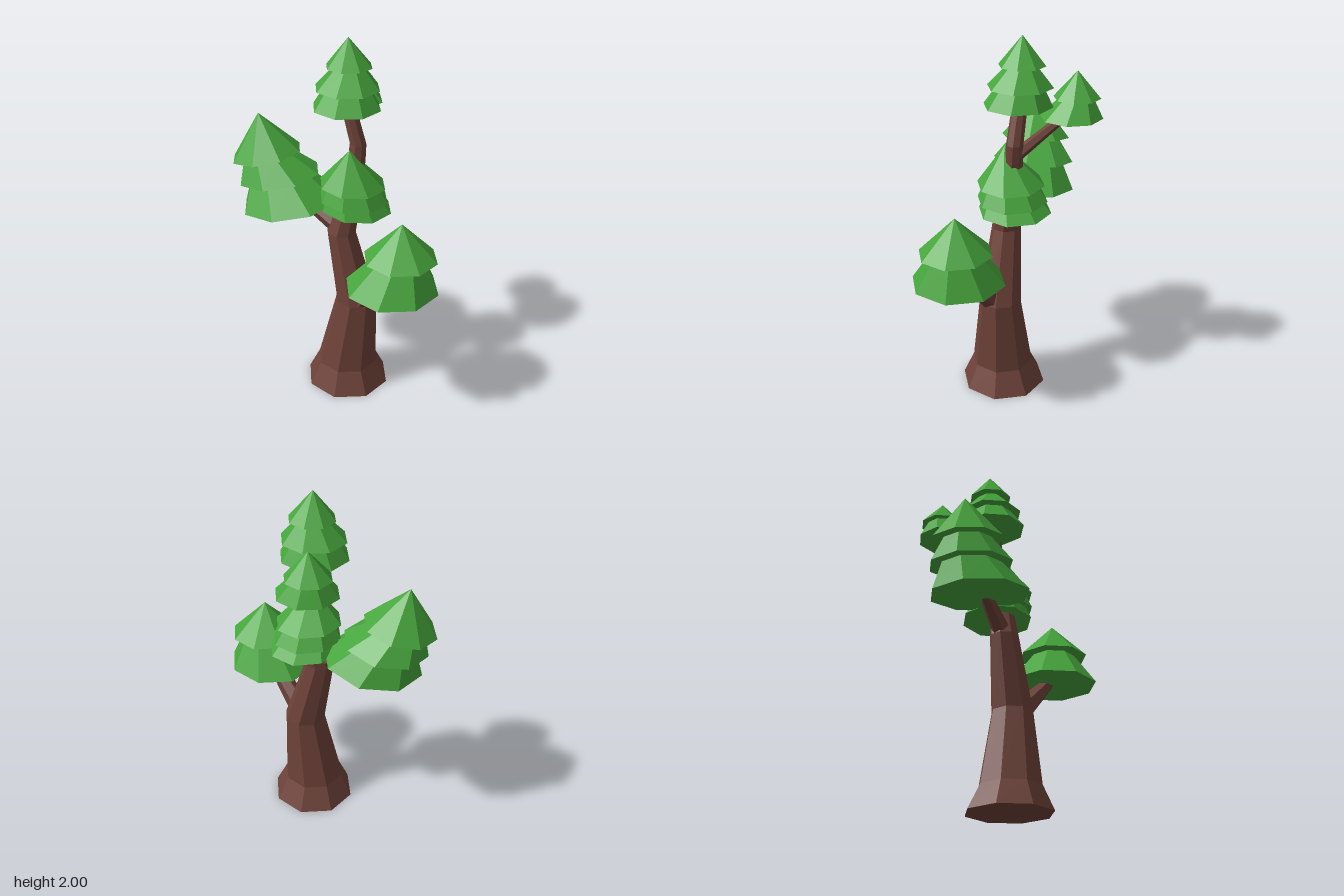
import * as THREE from 'three';

const SIDES = 8;
const bark = new THREE.MeshStandardMaterial({ color: 0x6e4239, flatShading: true });
const leaf = new THREE.MeshStandardMaterial({ color: 0x46a53c, flatShading: true });

// Closed skin through octagonal rings, listed from bottom to top.
// Each ring is [x, y, z, radius, slope of the ring along x].
function loft(rings) {
  const pos = [];
  const pt = ([x, y, z, r, slope = 0], j) => {
    const a = (j / SIDES) * Math.PI * 2;
    return [x + r * Math.cos(a), y + slope * r * Math.cos(a), z + r * Math.sin(a)];
  };
  const first = rings[0], last = rings[rings.length - 1];
  for (let j = 0; j < SIDES; j++) {
    pos.push(...first.slice(0, 3), ...pt(first, j), ...pt(first, j + 1));
    for (let i = 0; i < rings.length - 1; i++) {
      const a = pt(rings[i], j), b = pt(rings[i], j + 1);
      const c = pt(rings[i + 1], j), d = pt(rings[i + 1], j + 1);
      pos.push(...a, ...c, ...b);
      if (rings[i + 1][3] > 0) pos.push(...b, ...c, ...d);
    }
    if (last[3] > 0) pos.push(...last.slice(0, 3), ...pt(last, j + 1), ...pt(last, j));
  }
  const geo = new THREE.BufferGeometry();
  geo.setAttribute('position', new THREE.Float32BufferAttribute(pos, 3));
  geo.computeVertexNormals();
  return geo;
}

function addMesh(parent, name, geo, mat) {
  const mesh = new THREE.Mesh(geo, mat);
  mesh.name = name;
  parent.add(mesh);
  return mesh;
}

// Tapered limb between two points
function addBranch(parent, name, from, to, r0, r1) {
  const a = new THREE.Vector3(...from), b = new THREE.Vector3(...to);
  const dir = b.clone().sub(a);
  const mesh = addMesh(parent, name, new THREE.CylinderGeometry(r1, r0, dir.length(), 6), bark);
  mesh.position.copy(a).add(b).multiplyScalar(0.5);
  mesh.quaternion.setFromUnitVectors(new THREE.Vector3(0, 1, 0), dir.normalize());
}

// Stacked skirts: a pointed tier on top, then flared tiers below it.
// Each tier is [x, y, z, bottom radius, top radius, slope].
function addFoliage(parent, name, apex, tiers) {
  const group = new THREE.Group();
  group.name = name;
  tiers.forEach(([x, y, z, r, rTop, slope = 0], i) => {
    const above = i ? tiers[i - 1] : apex;
    const top = [above[0], above[1], above[2], rTop, i ? slope : 0];
    addMesh(group, 'tier' + (i + 1), loft([[x, y, z, r, slope], top]), leaf);
  });
  parent.add(group);
}

export function createModel() {
  const tree = new THREE.Group();
  tree.name = 'tree';

  // Trunk with flared foot and a bent upper stem
  addMesh(tree, 'trunk', loft([
    [0.07, 0, 0.04, 0.235],
    [0.07, 0.135, 0.045, 0.17],
    [0.12, 0.55, 0.045, 0.115],
    [0.025, 0.95, 0.03, 0.08],
    [0.055, 1.1, 0.01, 0.068],
    [0.09, 1.36, -0.025, 0.048],
    [0.095, 1.45, -0.03, 0.045],
    [0.03, 1.66, -0.045, 0.04],
  ]), bark);

  // Branches
  addBranch(tree, 'leftBranch', [0.15, 0.555, 0.075], [0.4, 0.82, 0.2], 0.065, 0.032);
  addBranch(tree, 'rightBranch', [0.0, 0.98, 0.02], [-0.25, 1.12, -0.01], 0.052, 0.03);
  addBranch(tree, 'backBranch', [0.085, 1.39, -0.04], [-0.025, 1.62, -0.31], 0.034, 0.02);

  // Foliage clumps
  addFoliage(tree, 'topFoliage', [0.03, 2, -0.055], [
    [0.035, 1.85, -0.055, 0.122, 0],
    [0.03, 1.74, -0.045, 0.172, 0.075],
    [0.03, 1.64, -0.035, 0.182, 0.12],
  ]);
  addFoliage(tree, 'backFoliage', [-0.035, 1.82, -0.325], [
    [-0.035, 1.68, -0.325, 0.122, 0],
    [-0.022, 1.58, -0.3, 0.163, 0.085],
  ]);
  addFoliage(tree, 'leftFoliage', [0.41, 1.155, 0.21], [
    [0.408, 0.96, 0.21, 0.195, 0],
    [0.367, 0.775, 0.21, 0.25, 0.125],
  ]);
  addFoliage(tree, 'rightFoliage', [-0.47, 1.54, -0.04], [
    [-0.428, 1.312, -0.04, 0.193, 0, 0.19],
    [-0.358, 1.197, -0.04, 0.226, 0.13, 0.15],
    [-0.285, 1.06, -0.015, 0.268, 0.165, 0.15],
  ]);
  addFoliage(tree, 'middleFoliage', [0.068, 1.43, 0.03], [
    [0.075, 1.225, -0.005, 0.18, 0, -0.05],
    [0.08, 1.14, -0.015, 0.188, 0.14, -0.05],
    [0.088, 1.08, -0.03, 0.195, 0.155, -0.05],
  ]);

  return tree;
}
